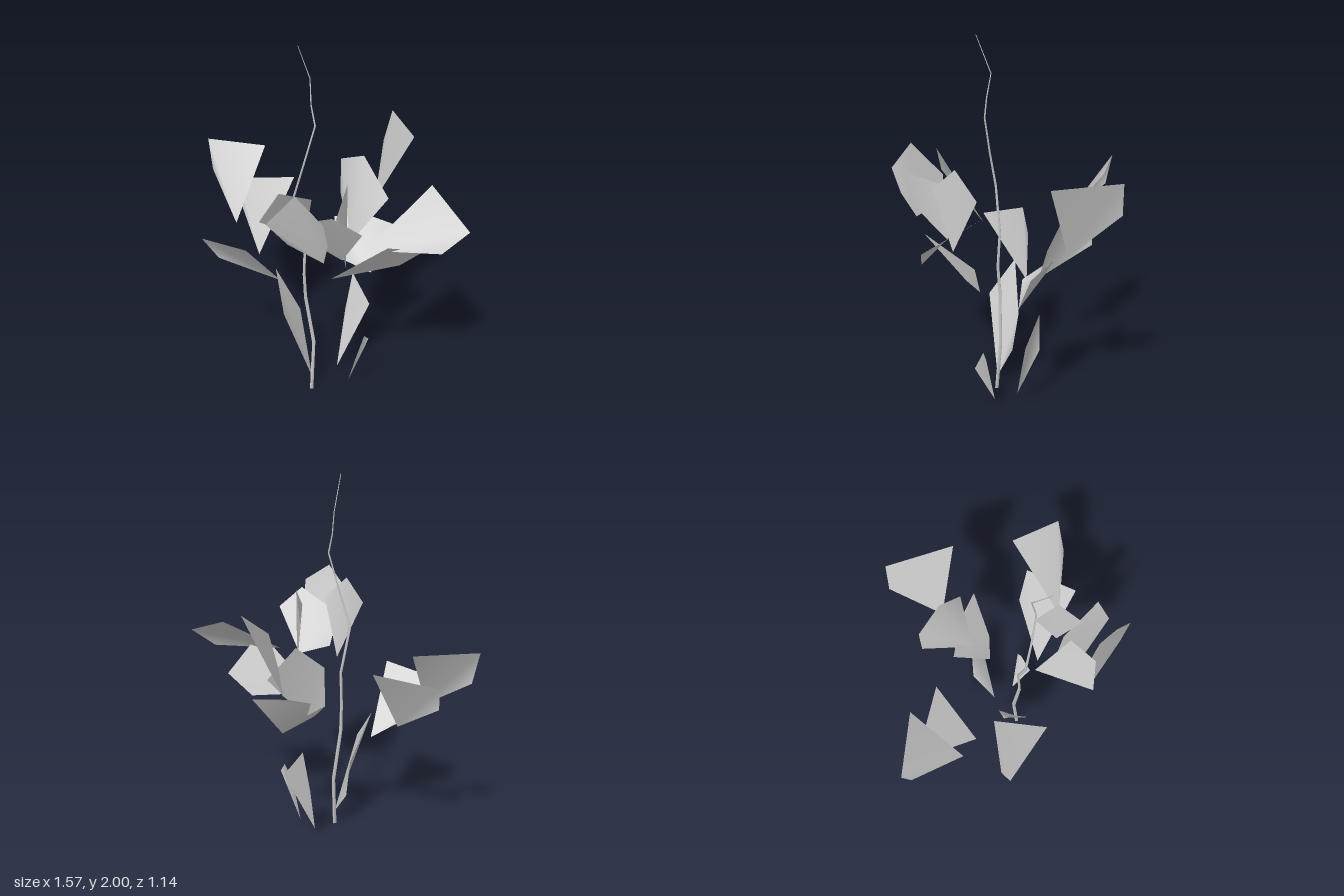
import * as THREE from 'three';

// Each leaf: pointed base first, then its rim corners in order.
const LEAVES = {
  lowerLeafFront: [[.075, .08, .19], [-.02, .22, .17], [-.055, .45, .155], [-.12, .73, .265], [.017, .535, .33]],
  lowerLeafBack: [[.08, .05, .005], [.16, .44, -.165], [.045, .6, -.145], [.02, .36, -.115]],
  lowerLeafLeft: [[.21, .05, .04], [.305, .26, .09], [.3, .39, .015], [.305, .36, -.015]],
  middleLeafFront: [[-.155, .61, .205], [-.07, .955, .49], [-.395, .9, .53], [-.37, .76, .45]],
  middleLeafRight: [[-.315, .71, .22], [-.32, 1.09, -.045], [-.615, 1.03, .11], [-.61, .915, .12]],
  outerLeafRight: [[-.455, .865, .26], [-.525, 1.22, -.015], [-.785, 1.235, .18], [-.745, 1.065, .19]],
  middleLeafBack: [[-.1, .9, -.14], [.06, .76, -.02], [.185, .67, -.14], [.245, .91, -.31], [.07, .93, -.25]],
  upperLeafBack: [[.04, .8, -.13], [.14, 1.04, -.31], [-.03, 1.24, -.29], [-.195, 1.17, -.28], [-.195, .97, -.275]],
  outerLeafBack: [[.02, .98, -.33], [.21, 1.39, -.41], [-.1, 1.4, -.575], [-.13, 1.225, -.545]],
  outerLeafLeft: [[.42, 1.03, .14], [.48, 1.27, -.25], [.78, 1.155, -.185], [.71, 1.05, -.075]],
  middleLeafLeft: [[.22, .79, .185], [.555, 1.1, .135], [.53, .95, -.175], [.41, .83, -.12]],
  innerLeafLeft: [[.345, .92, .2], [.385, 1.25, .305], [.33, 1.37, .18], [.25, 1.2, .11]],
  upperLeafLeft: [[.355, .985, .235], [.535, 1.22, .285], [.46, 1.32, .4], [.22, 1.2, .42], [.19, 1.045, .3]],
  upperLeafFront: [[.42, 1.075, .415], [.485, 1.21, .45], [.505, 1.34, .495], [.36, 1.44, .53], [.16, 1.22, .54], [.22, 1.105, .46]],
  innerLeafFront: [[.105, 1.01, .25], [.25, 1.31, .335], [.22, 1.39, .505], [.15, 1.24, .57]],
};

// Stem centre line from root to tip.
const STEM = [
  [.077, 0, .195], [.067, .3, .167], [.042, .6, .2], [.045, .75, .21], [.04, .95, .195],
  [.02, 1.2, .25], [.075, 1.4, .225], [.125, 1.6, .197], [.105, 1.7, .203], [.085, 1.82, .19], [.107, 2, .28],
];

function indexed(points, index) {
  const g = new THREE.BufferGeometry();
  g.setAttribute('position', new THREE.Float32BufferAttribute(points.flat(), 3));
  g.setIndex(index);
  g.computeVertexNormals();
  return g;
}

// Thin bent blade fanned out from its base
function leafGeometry(points) {
  const index = [];
  for (let i = 1; i < points.length - 1; i++) index.push(0, i, i + 1);
  return indexed(points, index);
}

// Tapering stem skinned over square sections
function stemGeometry() {
  const sides = 4, points = [], index = [];
  STEM.forEach(([x, y, z], i) => {
    const r = 0.011 * (1 - i / (STEM.length - 1)) + 0.002;
    for (let k = 0; k < sides; k++) {
      const a = (k / sides) * Math.PI * 2;
      points.push([x + r * Math.sin(a), y, z + r * Math.cos(a)]);
    }
  });
  for (let i = 0; i < STEM.length - 1; i++) {
    for (let k = 0; k < sides; k++) {
      const a = i * sides + k, b = i * sides + (k + 1) % sides;
      index.push(a, b, b + sides, a, b + sides, a + sides);
    }
  }
  return indexed(points, index);
}

export function createModel() {
  const model = new THREE.Group();
  model.name = 'plant';
  const grey = new THREE.MeshStandardMaterial({ color: 0xcccccc, side: THREE.DoubleSide });
  grey.name = 'pale grey';

  const stem = new THREE.Mesh(stemGeometry(), grey);
  stem.name = 'stem';
  model.add(stem);

  const leaves = new THREE.Group();
  leaves.name = 'leaves';
  for (const [name, points] of Object.entries(LEAVES)) {
    const leaf = new THREE.Mesh(leafGeometry(points), grey);
    leaf.name = name;
    leaves.add(leaf);
  }
  model.add(leaves);
  return model;
}
